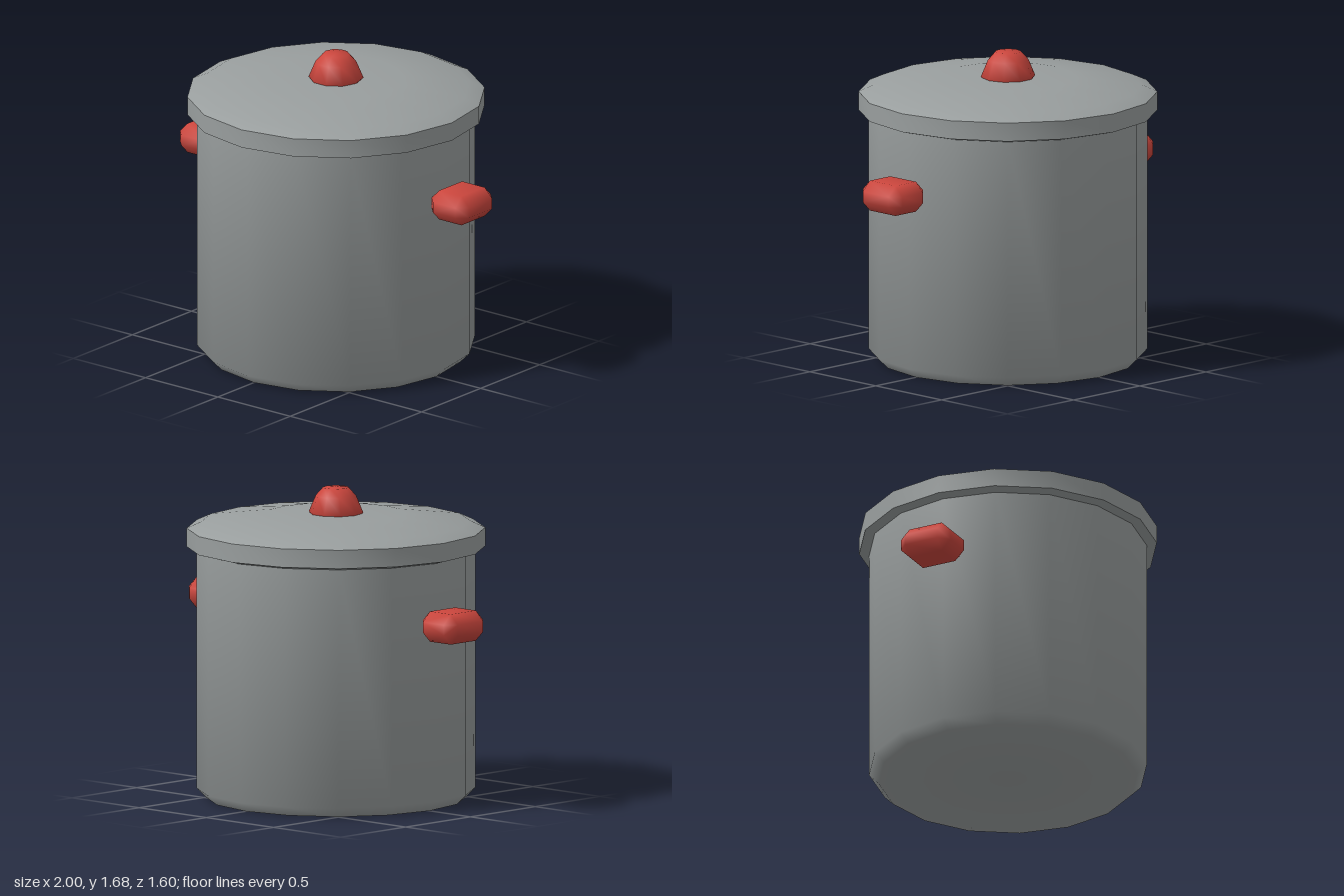
import * as THREE from 'three';
import { mergeVertices, toCreasedNormals } from 'three/addons/utils/BufferGeometryUtils.js';
import { ConvexGeometry } from 'three/addons/geometries/ConvexGeometry.js';

const steel = new THREE.MeshStandardMaterial({ name: 'steel grey', color: 0x999e9e });
const red = new THREE.MeshStandardMaterial({ name: 'handle red', color: 0xcb463d });

// Turned part from a [radius, height] profile, listed bottom to top
function turned(name, profile, sides, crease, material) {
  const points = profile.map(([r, y]) => new THREE.Vector2(r, y));
  const geometry = new THREE.LatheGeometry(points, sides);
  geometry.rotateY(Math.PI / 2);
  const mesh = new THREE.Mesh(toCreasedNormals(geometry, crease), material);
  mesh.name = name;
  return mesh;
}

// Box with every edge cut back by c, smooth shaded
function chamferedBox(w, h, d, c) {
  const points = [];
  for (const sx of [-1, 1]) for (const sy of [-1, 1]) for (const sz of [-1, 1]) {
    const x = w / 2, y = h / 2, z = d / 2;
    points.push(
      new THREE.Vector3(sx * x, sy * (y - c), sz * (z - c)),
      new THREE.Vector3(sx * (x - c), sy * y, sz * (z - c)),
      new THREE.Vector3(sx * (x - c), sy * (y - c), sz * z)
    );
  }
  const hull = new ConvexGeometry(points);
  hull.deleteAttribute('normal');
  const geometry = mergeVertices(hull);
  geometry.computeVertexNormals();
  return geometry;
}

export function createModel() {
  const pot = new THREE.Group();
  pot.name = 'cookingPot';

  // Body with a bevelled foot
  pot.add(turned('body', [[0, 0], [0.695, 0], [0.747, 0.052], [0.747, 1.352]], 16, 1.0, steel));

  // Lid with a crisp rim and a shallow dome
  pot.add(turned('lid', [
    [0, 1.345], [0.745, 1.345], [0.8, 1.36], [0.8, 1.46],
    [0.72, 1.496], [0.37, 1.54], [0, 1.54]
  ], 16, 0.7, steel));

  // Knob
  pot.add(turned('lidKnob', [
    [0.138, 1.535], [0.147, 1.547], [0.11, 1.635], [0.07, 1.68], [0, 1.68]
  ], 10, 1.2, red));

  // Side handles
  const handleGeometry = chamferedBox(0.26, 0.164, 0.3, 0.053);
  for (const [name, side] of [['leftHandle', 1], ['rightHandle', -1]]) {
    const handle = new THREE.Mesh(handleGeometry, red);
    handle.name = name;
    handle.position.set(side * 0.87, 1.02, 0);
    pot.add(handle);
  }
  return pot;
}
